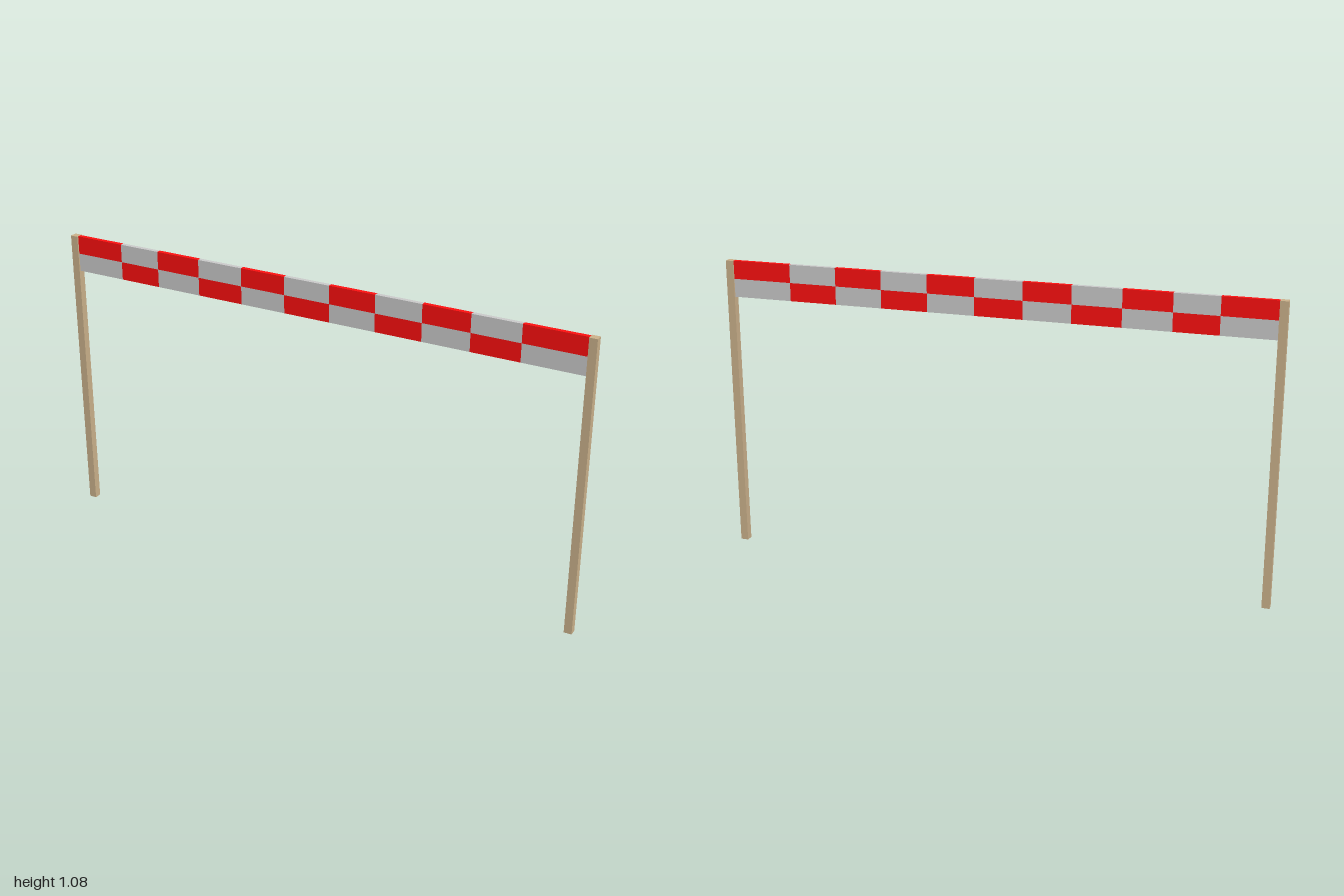
import * as THREE from 'three';

export function createModel() {
  const model = new THREE.Group();
  const wood = new THREE.MeshStandardMaterial({ color: 0xccb28c });
  const red = new THREE.MeshStandardMaterial({ color: 0xff1010 });
  const grey = new THREE.MeshStandardMaterial({ color: 0xcccccc });

  // Box given by its extents in x and y, centred on z = 0
  function addBox(parent, name, material, x0, x1, y0, y1, depth) {
    const mesh = new THREE.Mesh(new THREE.BoxGeometry(x1 - x0, y1 - y0, depth), material);
    mesh.position.set((x0 + x1) / 2, (y0 + y1) / 2, 0);
    mesh.name = name;
    parent.add(mesh);
  }

  const top = 1.075, middle = 1.009, bottom = 0.943;

  // Square posts
  addBox(model, 'leftPost', wood, 0.972, 1, 0, top, 0.027);
  addBox(model, 'rightPost', wood, -1, -0.972, 0, top, 0.027);

  // Chequered board: two rows of alternating blocks
  const board = new THREE.Group();
  board.name = 'chequeredBoard';
  model.add(board);
  const edges = [-0.972, -0.783, -0.626, -0.455, -0.281, -0.11,
    0.063, 0.235, 0.406, 0.578, 0.753, 0.972];
  for (let i = 0; i < edges.length - 1; i++) {
    const even = i % 2 === 0;
    addBox(board, 'upperBlock', even ? red : grey, edges[i], edges[i + 1], middle, top, 0.016);
    addBox(board, 'lowerBlock', even ? grey : red, edges[i], edges[i + 1], bottom, middle, 0.016);
  }

  return model;
}
